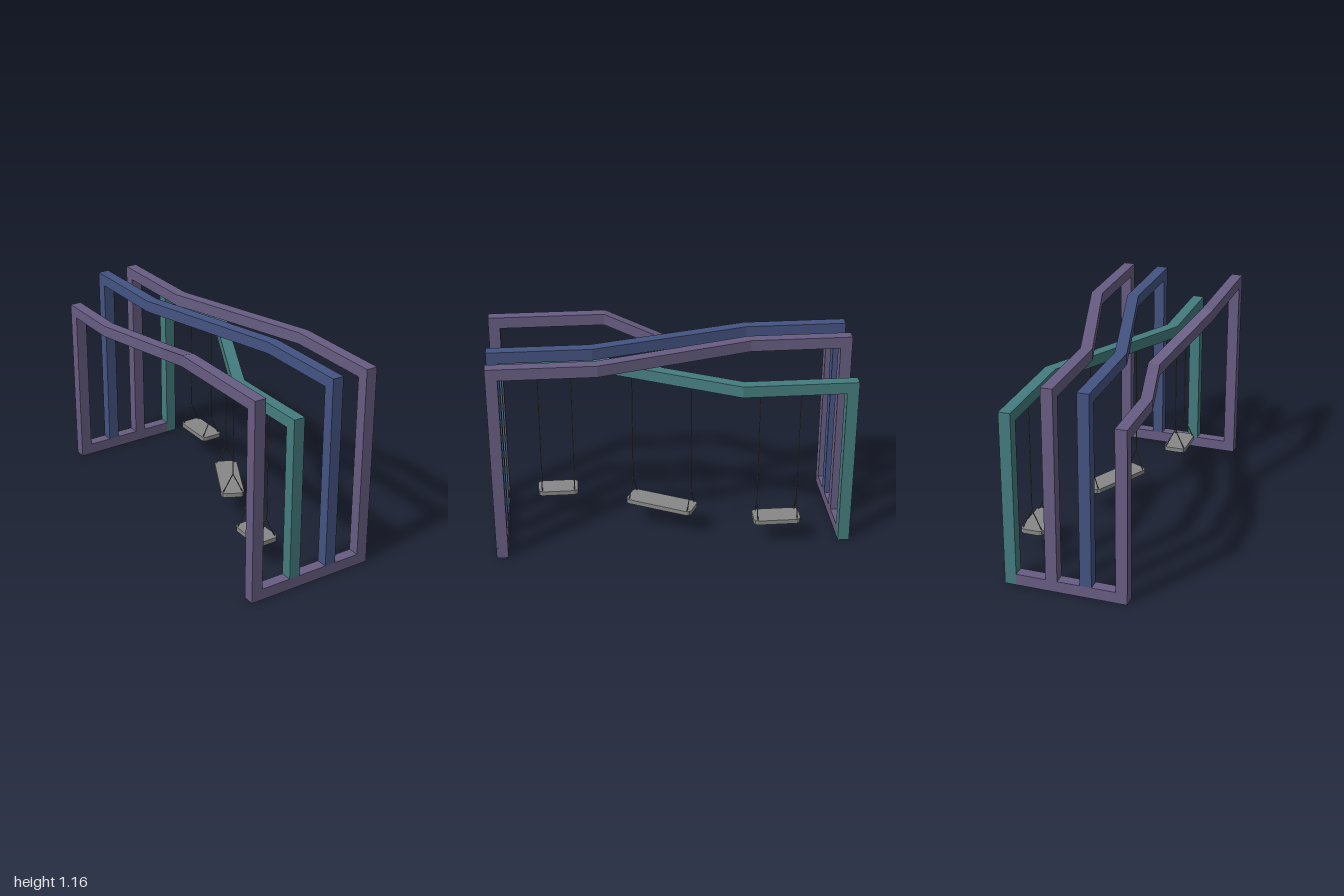
import * as THREE from 'three';

const T = 0.065; // timber thickness
const HIGH = 1.16, LOW = 0.995;

const mat = (color) => new THREE.MeshStandardMaterial({ color, flatShading: true });
const PURPLE = mat(0x675d82), BLUE = mat(0x445382), TEAL = mat(0x457c7e);
const SEAT = mat(0x888888), ROPE = mat(0x666666);

function add(parent, name, geometry, material, x = 0, y = 0, z = 0) {
  const mesh = new THREE.Mesh(geometry, material);
  mesh.name = name;
  mesh.position.set(x, y, z);
  parent.add(mesh);
  return mesh;
}

// Square beam swept along centre points [x, top, z] from front to back, mitred at each kink
function beamGeometry(points) {
  const dir = (a, b) => new THREE.Vector2(b[0] - a[0], b[2] - a[2]).normalize();
  const sections = points.map((p, i) => {
    const d0 = dir(points[Math.max(i - 1, 0)], points[Math.max(i, 1)]);
    const last = points.length - 1;
    const d1 = dir(points[Math.min(i, last - 1)], points[Math.min(i + 1, last)]);
    const mid = d0.clone().add(d1).normalize();
    const w = T / 2 / mid.dot(d0);
    const nx = -mid.y * w, nz = mid.x * w;
    return [[1, 0], [-1, 0], [-1, -T], [1, -T]].map(([s, dy]) => [p[0] + s * nx, p[1] + dy, p[2] + s * nz]);
  });
  const pos = [];
  const quad = (a, b, c, d) => pos.push(...a, ...b, ...c, ...a, ...c, ...d);
  for (let i = 0; i < sections.length - 1; i++) {
    for (let j = 0; j < 4; j++) {
      const k = (j + 1) % 4;
      quad(sections[i][j], sections[i + 1][j], sections[i + 1][k], sections[i][k]);
    }
  }
  quad(...sections[0]);
  quad(...sections[sections.length - 1].slice().reverse());
  const g = new THREE.BufferGeometry();
  g.setAttribute('position', new THREE.Float32BufferAttribute(pos, 3));
  g.computeVertexNormals();
  return g;
}

// Top beam with a post under each end
function frame(name, material, points, frontFoot = T, backFoot = T) {
  const group = new THREE.Group();
  group.name = name;
  add(group, 'topBeam', beamGeometry(points), material);
  const post = (label, [x, top, z], foot) => {
    const h = top - T - foot;
    add(group, label, new THREE.BoxGeometry(T, h, T), material, x, foot + h / 2, z - Math.sign(z) * T / 2);
  };
  post('frontPost', points[0], frontFoot);
  post('backPost', points[points.length - 1], backFoot);
  return group;
}

function rope(parent, name, a, b, r = 0.003) {
  const from = new THREE.Vector3(...a), to = new THREE.Vector3(...b);
  const mesh = add(parent, name, new THREE.CylinderGeometry(r, r, from.distanceTo(to), 6), ROPE);
  mesh.position.copy(from).add(to).multiplyScalar(0.5);
  mesh.quaternion.setFromUnitVectors(new THREE.Vector3(0, 1, 0), to.sub(from).normalize());
}

// Seat with clipped corners, hung by two forked ropes
function swing(name, x, z, length, angle) {
  const group = new THREE.Group();
  group.name = name;
  const w = 0.066, l = length / 2, c = 0.022;
  const outline = new THREE.Shape([
    [w - c, -l], [w - c / 3, -l + c / 3], [w, -l + c], [w, l - c], [w - c / 3, l - c / 3], [w - c, l],
    [-w + c, l], [-w + c / 3, l - c / 3], [-w, l - c], [-w, -l + c], [-w + c / 3, -l + c / 3], [-w + c, -l],
  ].map(([a, b]) => new THREE.Vector2(a, b)));
  const seat = new THREE.ExtrudeGeometry(outline, { depth: 0.026, bevelEnabled: false });
  seat.rotateX(-Math.PI / 2);
  add(group, 'seat', seat, SEAT, 0, 0.145, 0);
  for (const s of [-1, 1]) {
    const rz = s * (l - 0.021);
    rope(group, 'rope', [0, 0.285, rz], [0, LOW - T, rz]);
    for (const side of [-1, 1]) rope(group, 'ropeFork', [side * 0.06, 0.16, rz], [0, 0.285, rz]);
  }
  group.position.set(x, 0, z);
  group.rotation.y = angle;
  return group;
}

export function createModel() {
  const model = new THREE.Group();
  model.name = 'swingSet';

  // Four bent frames
  model.add(
    frame('rightFrame', PURPLE, [[-0.353, HIGH, 1], [-0.353, HIGH, 0.34], [-0.193, LOW, -0.135], [-0.304, LOW, -0.6], [-0.304, LOW, -1]]),
    frame('swingFrame', TEAL, [[-0.113, LOW, 1], [-0.113, LOW, 0.46], [0.317, LOW, -0.375], [0.317, LOW, -1]], T, 0),
    frame('middleFrame', BLUE, [[0.122, HIGH, 1], [0.122, HIGH, 0.435], [-0.107, HIGH, -0.435], [-0.107, HIGH, -1]]),
    frame('leftFrame', PURPLE, [[0.337, HIGH, 1], [0.337, HIGH, 0.415], [0.085, HIGH, -0.435], [0.085, HIGH, -1]]),
  );

  // Ground bars joining the posts
  const bar = (name, x0, x1, z) =>
    add(model, name, new THREE.BoxGeometry(x1 - x0, T, T), PURPLE, (x0 + x1) / 2, T / 2, z);
  bar('frontGroundBar', -0.385, 0.37, 1 - T / 2);
  bar('backGroundBar', -0.336, 0.285, -1 + T / 2);

  // Three swings under the low frame
  model.add(
    swing('frontSwing', -0.113, 0.643, 0.23, 0),
    swing('middleSwing', 0.106, 0.053, 0.4, Math.atan2(-0.43, 0.835)),
    swing('backSwing', 0.317, -0.578, 0.265, 0),
  );
  return model;
}
